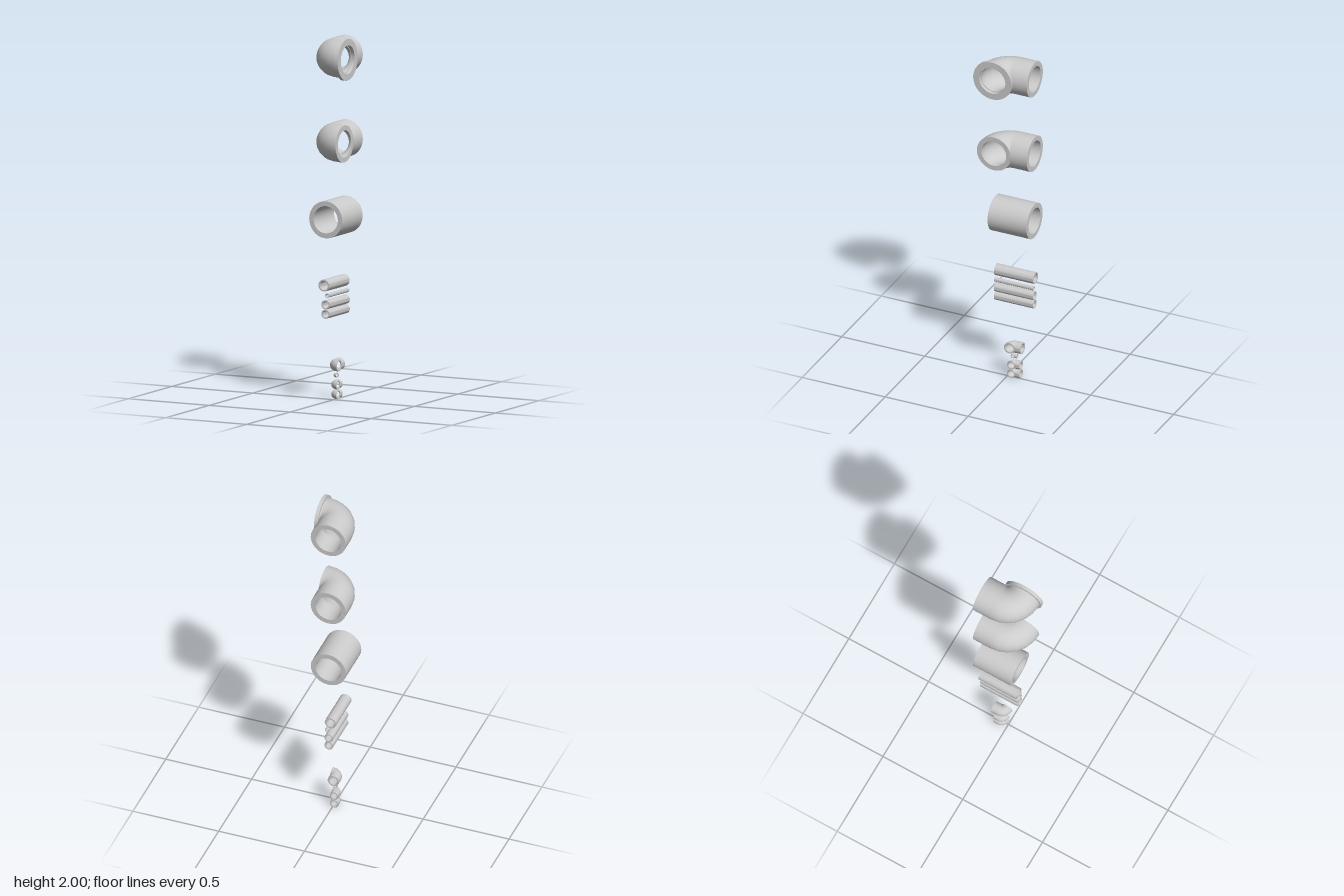
import * as THREE from 'three';
import { toCreasedNormals } from 'three/addons/utils/BufferGeometryUtils.js';

const SIDES = 40;
const solid = new THREE.MeshStandardMaterial({ color: 0xcccccc });
const bore = new THREE.MeshStandardMaterial({ color: 0xcccccc, side: THREE.DoubleSide });

// Hollow straight tube along z, centred on its own origin
function hollowTube(outer, inner, length) {
  const h = length / 2;
  const profile = [[outer, -h], [outer, h], [inner, h], [inner, -h], [outer, -h]]
    .map(([r, y]) => new THREE.Vector2(r, y));
  const geometry = new THREE.LatheGeometry(profile, SIDES).rotateX(Math.PI / 2);
  return toCreasedNormals(geometry, 0.6);
}

// Quarter bend from a tube along z (at -x of the bend centre) to an opening facing +x
function quarterBend(bendRadius, tubeRadius) {
  return new THREE.TorusGeometry(bendRadius, tubeRadius, SIDES, 6, Math.PI / 2)
    .rotateZ(Math.PI / 2).rotateX(Math.PI / 2);
}

function add(parent, name, geometry, x, y, z, material = solid) {
  const mesh = new THREE.Mesh(geometry, material);
  mesh.name = name;
  mesh.position.set(x, y, z);
  parent.add(mesh);
  return mesh;
}

// Elbow: straight neck towards the back, bend, and a side opening centred at z = 0
function makeElbow(name, outer, inner, flanged) {
  const elbow = new THREE.Group();
  elbow.name = name;
  const bend = outer * 0.95;
  const neck = outer * 1.02;
  add(elbow, 'neck', hollowTube(outer, inner, neck), 0, 0, -bend - neck / 2);
  add(elbow, 'bendOutside', quarterBend(bend, outer), bend, 0, -bend);
  add(elbow, 'bendBore', quarterBend(bend, inner), bend, 0, -bend, bore);
  const rim = new THREE.RingGeometry(inner, outer, SIDES).rotateY(Math.PI / 2);
  add(elbow, 'openingRim', rim, bend, 0, 0);
  if (flanged) {
    const flange = hollowTube(0.115, 0.079, 0.02).rotateY(Math.PI / 2);
    add(elbow, 'flange', flange, bend + 0.01, 0, 0);
  }
  return elbow;
}

export function createModel() {
  const model = new THREE.Group();
  model.name = 'pipeFittings';

  // Elbows: name, outer radius, bore radius, x, y, z of opening, flange
  const elbows = [
    ['largeFlangedElbow', 0.102, 0.075, -0.008, 1.885, 0.041, true],
    ['largeElbow', 0.102, 0.075, -0.008, 1.42, 0.041, false],
    ['smallElbowTop', 0.033, 0.025, -0.009, 0.187, -0.021, false],
    ['tinyElbow', 0.012, 0.009, -0.008, 0.13, -0.032, false],
    ['smallElbowMiddle', 0.025, 0.019, -0.01, 0.078, -0.027, false],
    ['smallElbowBottom', 0.025, 0.019, -0.01, 0.025, -0.027, false],
  ];
  for (const [name, outer, inner, x, y, z, flanged] of elbows) {
    const elbow = makeElbow(name, outer, inner, flanged);
    elbow.position.set(x, y, z);
    model.add(elbow);
  }

  // Straight pipes: name, outer radius, bore radius, x, y
  const pipes = [
    ['largePipe', 0.102, 0.075, -0.008, 1.0],
    ['smallPipeTop', 0.033, 0.025, -0.02, 0.637],
    ['tinyPipe', 0.012, 0.009, 0, 0.583],
    ['smallPipeMiddle', 0.025, 0.019, -0.01, 0.532],
    ['smallPipeBottom', 0.025, 0.019, -0.01, 0.48],
  ];
  for (const [name, outer, inner, x, y] of pipes) {
    add(model, name, hollowTube(outer, inner, 0.235), x, y, -0.041);
  }
  return model;
}
